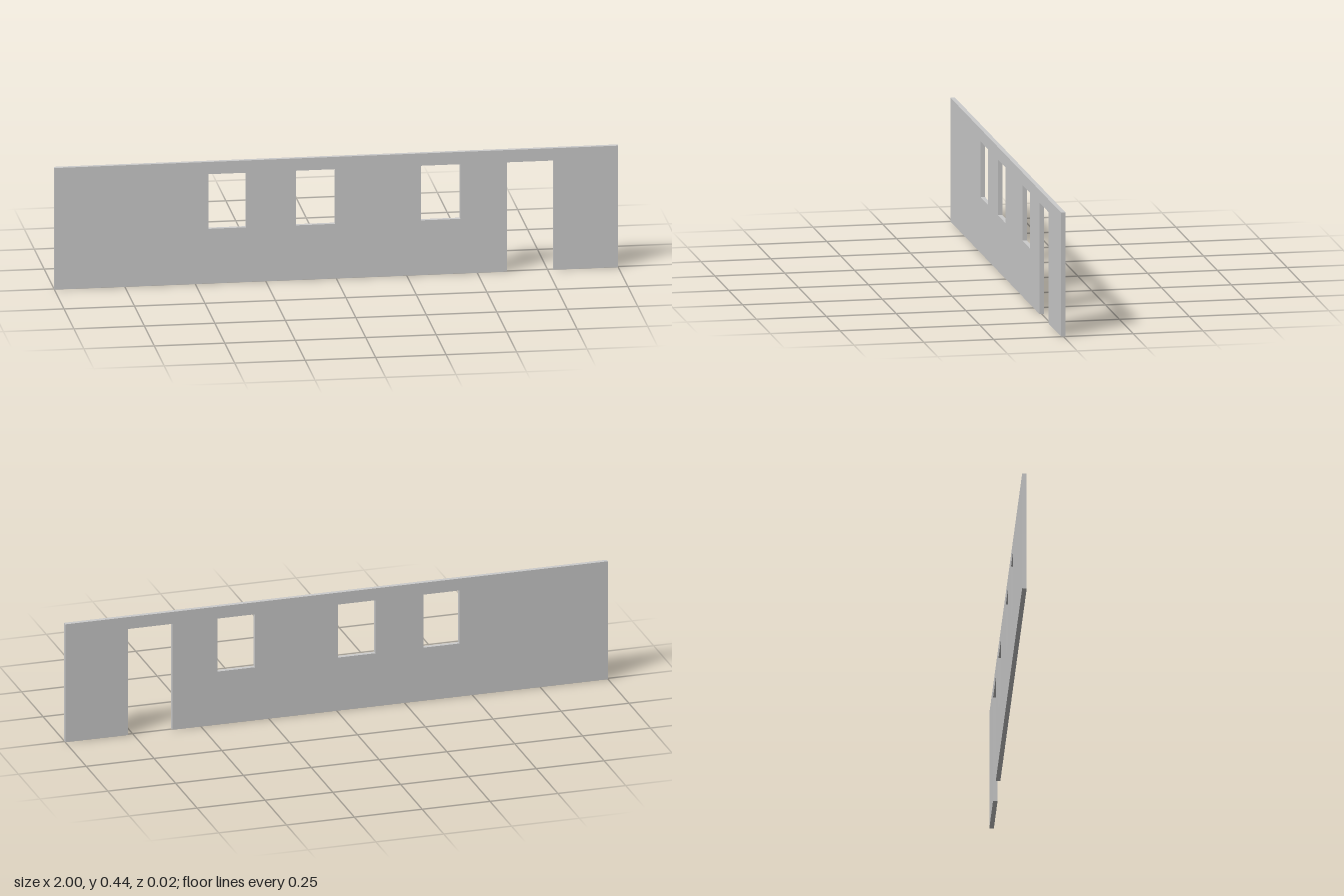
import * as THREE from 'three';

const HEIGHT = 0.445, THICKNESS = 0.016;
const SILL = 0.2, LINTEL = 0.4;
const DOOR = [0.605, 0.77];
const WINDOWS = [[-0.453, -0.32], [-0.143, -0.004], [0.301, 0.44]];

const points = (list) => list.map(([x, y]) => new THREE.Vector2(x, y));

export function createModel() {
  const group = new THREE.Group();
  group.name = 'wallPanel';

  // Wall outline, notched at the bottom by the doorway
  const [left, right] = DOOR;
  const outline = new THREE.Shape(points([
    [-1, 0], [left, 0], [left, LINTEL], [right, LINTEL],
    [right, 0], [1, 0], [1, HEIGHT], [-1, HEIGHT],
  ]));

  // Window openings
  for (const [x0, x1] of WINDOWS) {
    outline.holes.push(new THREE.Path(points([
      [x0, SILL], [x0, LINTEL], [x1, LINTEL], [x1, SILL],
    ])));
  }

  // Thin slab centred on z = 0
  const geometry = new THREE.ExtrudeGeometry(outline, { depth: THICKNESS, bevelEnabled: false });
  geometry.translate(0, 0, -THICKNESS / 2);
  const wall = new THREE.Mesh(geometry, new THREE.MeshStandardMaterial({ color: 0xcccccc }));
  wall.name = 'wall';
  group.add(wall);
  return group;
}
